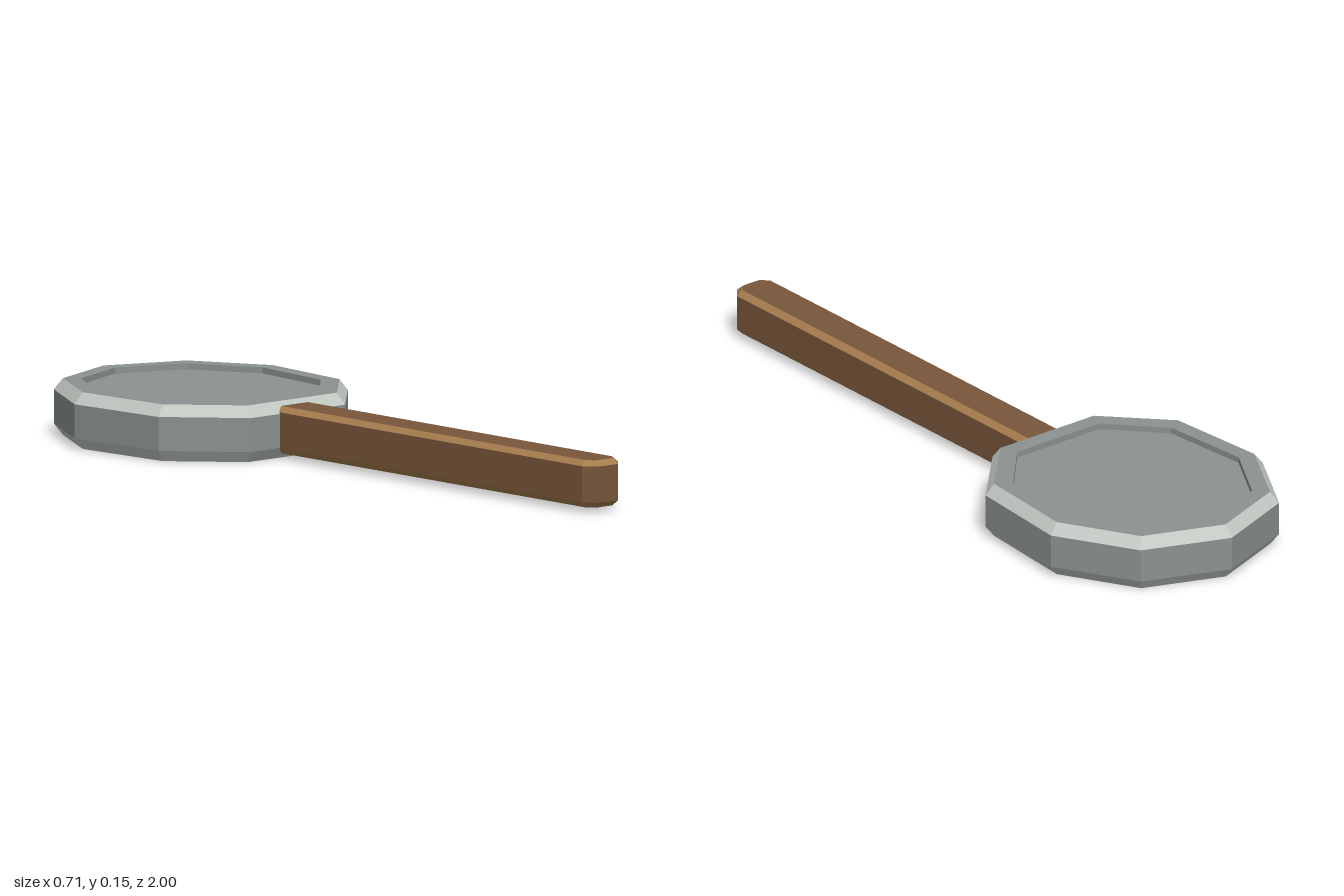
import * as THREE from 'three';

const paint = (name, color) => {
  const m = new THREE.MeshStandardMaterial({ color });
  m.name = name;
  return m;
};

// Mirrors a half outline of [x, z] points into a closed ring
const mirror = (half) => [...half, ...half.filter(([x]) => x > 0).reverse().map(([x, z]) => [-x, z])];

// Faceted solid through stacked rings { y, pts }, listed from the bottom cap to the top cap.
// bands gives a material index for the bottom cap, each strip, and the top cap.
function stack(name, rings, bands, materials) {
  const pos = [];
  const geo = new THREE.BufferGeometry();
  const at = ({ y, pts }, i) => {
    const [x, z] = pts[i % pts.length];
    return [x, y, z];
  };
  const close = (start, index) => geo.addGroup(start, pos.length / 3 - start, index);
  const cap = (ring, up, index) => {
    const start = pos.length / 3;
    for (let i = 1; i < ring.pts.length - 1; i++) {
      pos.push(...at(ring, 0), ...at(ring, up ? i + 1 : i), ...at(ring, up ? i : i + 1));
    }
    close(start, index);
  };

  cap(rings[0], false, bands[0]);
  for (let r = 0; r < rings.length - 1; r++) {
    const start = pos.length / 3;
    const [lo, hi] = [rings[r], rings[r + 1]];
    for (let i = 0; i < lo.pts.length; i++) {
      pos.push(...at(lo, i), ...at(hi, i), ...at(hi, i + 1));
      pos.push(...at(lo, i), ...at(hi, i + 1), ...at(lo, i + 1));
    }
    close(start, bands[r + 1]);
  }
  cap(rings[rings.length - 1], true, bands[bands.length - 1]);

  geo.setAttribute('position', new THREE.Float32BufferAttribute(pos, 3));
  geo.computeVertexNormals();
  const mesh = new THREE.Mesh(geo, materials);
  mesh.name = name;
  return mesh;
}

export function createModel() {
  const group = new THREE.Group();
  group.name = 'pan';
  const metal = [paint('iron', 0x8b9291), paint('worn iron edge', 0xc3cac4)];
  const wood = [paint('wood', 0x78563b), paint('worn wood edge', 0xa67d4d)];

  // Nine-sided pan: bevelled outside, shallow recess on top
  const outer = mirror([[0, -1], [0.233, -0.91], [0.357, -0.69], [0.332, -0.39], [0.166, -0.215]]);
  const inset = mirror([[0, -0.975], [0.217, -0.892], [0.333, -0.685], [0.31, -0.398], [0.157, -0.237]]);
  const rim = mirror([[0, -0.93], [0.185, -0.857], [0.288, -0.675], [0.267, -0.424], [0.139, -0.284]]);
  group.add(stack('panBody', [
    { y: 0, pts: inset },
    { y: 0.03, pts: outer },
    { y: 0.12, pts: outer },
    { y: 0.15, pts: inset },
    { y: 0.15, pts: rim },
    { y: 0.134, pts: rim },
  ], [0, 1, 0, 1, 0, 0, 0], metal));

  // Straight handle with bevelled long edges and a clipped end
  const side = mirror([[0.0625, -0.25], [0.0625, 0.968], [0.035, 1]]);
  const face = mirror([[0.047, -0.25], [0.047, 0.962], [0.028, 0.985]]);
  group.add(stack('handle', [
    { y: 0.013, pts: face },
    { y: 0.028, pts: side },
    { y: 0.124, pts: side },
    { y: 0.138, pts: face },
  ], [0, 1, 0, 1, 0], wood));

  return group;
}
